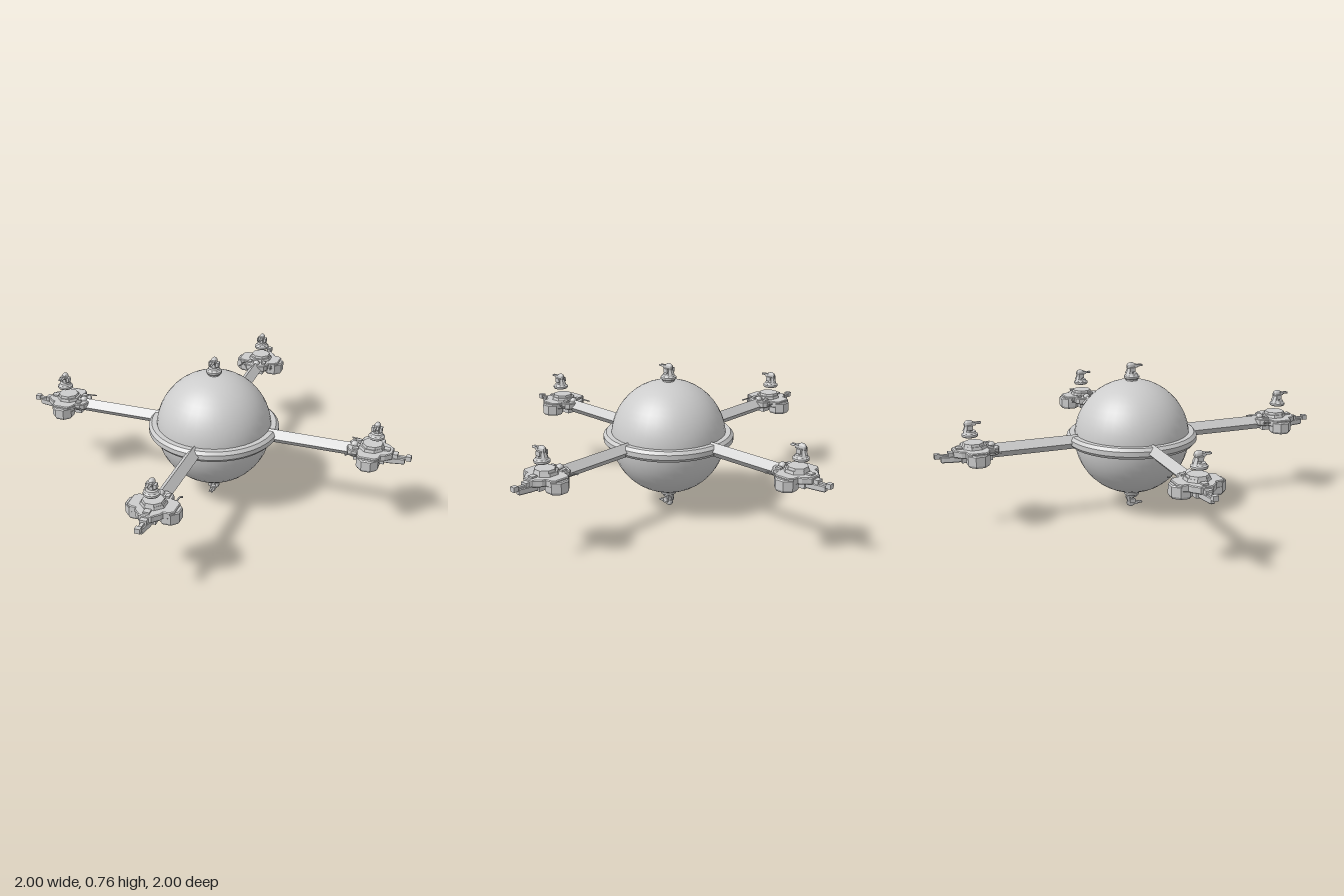
import * as THREE from 'three';
import { toCreasedNormals } from 'three/addons/utils/BufferGeometryUtils.js';

const MID = 0.38; // height of the station's equator

export function createModel() {
  const hull = new THREE.MeshStandardMaterial({ color: 0xcccccc });
  hull.name = 'hull light grey';

  const add = (parent, name, geometry, x = 0, y = 0, z = 0) => {
    const mesh = new THREE.Mesh(geometry, hull);
    mesh.name = name;
    mesh.position.set(x, y, z);
    parent.add(mesh);
    return mesh;
  };
  const box = (w, h, d) => new THREE.BoxGeometry(w, h, d);
  const creased = (g) => toCreasedNormals(g, 0.5);
  // Upright prism with a flat side facing each axis
  const prism = (rTop, rBottom, h, sides = 8) => {
    const k = 1 / Math.cos(Math.PI / sides);
    return creased(new THREE.CylinderGeometry(rTop * k, rBottom * k, h, sides).rotateY(Math.PI / sides));
  };
  // Horizontal plate from a half outline of [along, across], mirrored across
  const plate = (half, y0, y1, bevel) => {
    const points = [...half, ...half.map(([u, v]) => [u, -v]).reverse()];
    const shape = new THREE.Shape(points.map(([u, v]) => new THREE.Vector2(u, v)));
    return new THREE.ExtrudeGeometry(shape, {
      depth: y1 - y0 - 2 * bevel, bevelEnabled: true, bevelThickness: bevel,
      bevelSize: bevel, bevelOffset: -bevel, bevelSegments: 1,
    }).rotateX(-Math.PI / 2).translate(0, y0 + bevel, 0);
  };

  // Gun turret standing on y = 0, aiming at +z
  const makeTurret = (name) => {
    const t = new THREE.Group();
    t.name = name;
    const profile = [[0, 0], [0.036, 0], [0.039, 0.004], [0.039, 0.013], [0.032, 0.018], [0.028, 0.027], [0, 0.027]];
    add(t, 'turretBase', creased(new THREE.LatheGeometry(profile.map((p) => new THREE.Vector2(...p)), 16)));
    const neck = add(t, 'turretNeck', prism(0.014, 0.021, 0.036), 0, 0.042, -0.008);
    neck.rotation.x = 0.2;
    add(t, 'turretHead', creased(new THREE.SphereGeometry(0.021, 12, 8).scale(0.75, 0.95, 1.15)), 0, 0.062, -0.004);
    for (const s of [-1, 1]) {
      add(t, 'turretCheek', box(0.013, 0.022, 0.026), s * 0.019, 0.047, -0.002);
      add(t, 'turretBarrel', new THREE.CylinderGeometry(0.005, 0.006, 0.045, 8).rotateX(Math.PI / 2), s * 0.006, 0.064, 0.032);
    }
    add(t, 'barrelCollar', box(0.026, 0.016, 0.016), 0, 0.063, 0.018);
    return t;
  };

  // One arm with its docking pod, reaching along +x
  const makeArm = () => {
    const a = new THREE.Group();
    a.name = 'arm';
    const beam = new THREE.CylinderGeometry(0.036, 0.036, 0.5, 4).rotateZ(Math.PI / 2);
    add(a, 'armBeam', creased(beam), 0.53, MID, 0);

    // Lobed deck with a raised hub
    add(a, 'podDeck', plate([[0.69, 0.022], [0.70, 0.05], [0.72, 0.064], [0.745, 0.064], [0.752, 0.095],
      [0.768, 0.112], [0.842, 0.112], [0.858, 0.095], [0.862, 0.066], [0.88, 0.06], [0.9, 0.04], [0.912, 0.03]], 0.372, 0.406, 0.004));
    add(a, 'podUpperDeck', prism(0.054, 0.058, 0.014), 0.805, 0.413, 0);
    add(a, 'podHub', prism(0.046, 0.049, 0.012), 0.81, 0.426, 0);
    add(a, 'podKeel', box(0.15, 0.035, 0.07), 0.80, 0.36, 0);
    add(a, 'dockDome', creased(new THREE.SphereGeometry(0.019, 12, 8)), 0.722, 0.407, 0);
    add(a, 'outerHatch', box(0.03, 0.012, 0.03), 0.882, 0.408, 0);

    for (const s of [-1, 1]) {
      // Side drums with chamfered rims
      add(a, 'sideDrum', prism(0.053, 0.053, 0.044), 0.805, 0.37, s * 0.076);
      add(a, 'drumTop', prism(0.048, 0.053, 0.006), 0.805, 0.395, s * 0.076);
      add(a, 'drumBottom', prism(0.053, 0.046, 0.012), 0.805, 0.342, s * 0.076);
      add(a, 'deckBlock', box(0.028, 0.014, 0.02), 0.735, 0.408, s * 0.04);
      // Grappling hook on the inner side
      const hook = new THREE.CatmullRomCurve3([[0.75, 0.392, 0.075], [0.728, 0.394, 0.083],
        [0.705, 0.394, 0.084], [0.694, 0.39, 0.094]].map(([x, y, z]) => new THREE.Vector3(x, y, s * z)));
      add(a, 'grappleHook', new THREE.TubeGeometry(hook, 8, 0.004, 6));
    }

    // Spar and sensor at the outer tip
    add(a, 'outerSpar', plate([[0.85, 0.026], [0.91, 0.022], [0.93, 0.018], [0.955, 0.014], [0.97, 0.01]], 0.345, 0.376, 0.004));
    add(a, 'sparCollar', box(0.04, 0.022, 0.034), 0.915, 0.384, 0);
    add(a, 'sensorMast', box(0.06, 0.009, 0.016), 0.95, 0.38, 0);
    add(a, 'sensorBox', box(0.025, 0.024, 0.026), 0.9875, 0.38, 0);
    return a;
  };

  const model = new THREE.Group();
  model.name = 'spaceStation';
  add(model, 'coreSphere', new THREE.SphereGeometry(0.29, 36, 24), 0, MID, 0);

  // Chamfered equatorial ring
  const ring = [[0.28, -0.028], [0.314, -0.028], [0.328, -0.012], [0.328, 0.012], [0.314, 0.027], [0.28, 0.027]];
  add(model, 'equatorRing', creased(new THREE.LatheGeometry(ring.map((p) => new THREE.Vector2(...p)), 64)), 0, MID, 0);

  for (let i = 0; i < 4; i++) {
    const angle = (i * Math.PI) / 2;
    const arm = makeArm();
    arm.rotation.y = angle;
    model.add(arm);
    // Every turret aims forward whichever arm it guards
    const turret = makeTurret('podTurret');
    turret.position.set(Math.cos(angle) * 0.825, 0.462, -Math.sin(angle) * 0.825);
    model.add(turret);
  }

  const top = makeTurret('topTurret');
  top.position.y = 0.677;
  model.add(top);
  // Half a turn about z hangs the lower turret upside down, still aiming forward
  const bottom = makeTurret('bottomTurret');
  bottom.position.y = 0.083;
  bottom.rotation.z = Math.PI;
  model.add(bottom);
  for (const s of [-1, 1]) {
    add(model, 'turretMount', new THREE.CylinderGeometry(0.03, 0.03, 0.02, 16), 0, MID + s * 0.29, 0);
  }
  return model;
}
